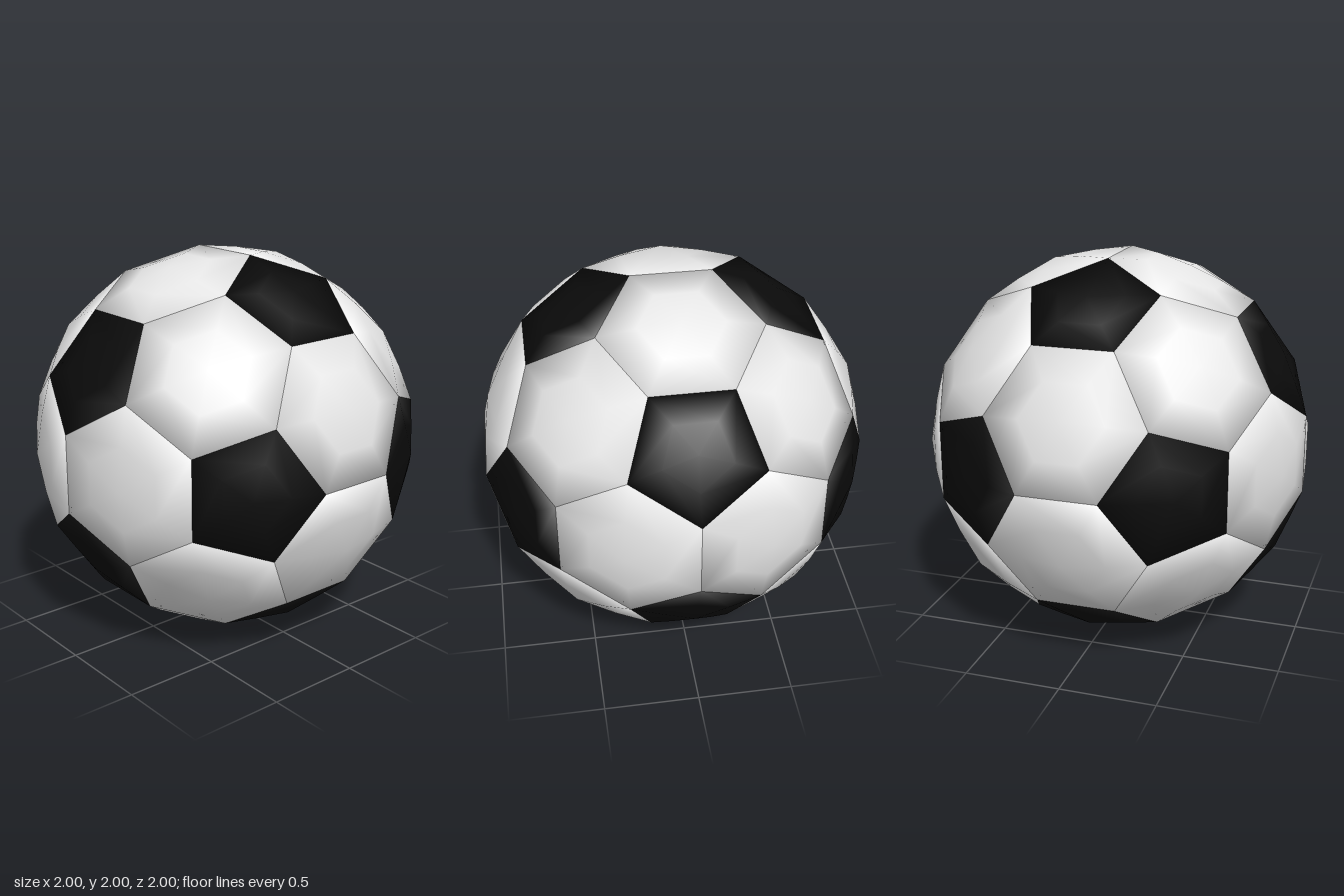
import * as THREE from 'three';

const PHI = (1 + Math.sqrt(5)) / 2;
const CROWN = 1.02;   // radius at the middle of a panel
const RING = 1.007;   // radius half way to the rim
const DEPTH = 0.84;   // inner end of the hidden seam wall, as a share of the radius

const white = new THREE.MeshStandardMaterial({ color: 0xe7e7e7 });
white.name = 'white';
const black = new THREE.MeshStandardMaterial({ color: 0x0b0b0b });
black.name = 'black';

// Puffed panel: crown, half-way ring, straight-edged rim and a wall folded into the seam
function panelGeometry(corners, dir) {
  const u = corners[0].clone().projectOnPlane(dir).normalize();
  const v = dir.clone().cross(u);
  const angle = (p) => Math.atan2(p.dot(v), p.dot(u));
  const rim = [...corners].sort((a, b) => angle(a) - angle(b));
  const n = rim.length;
  const flatCentre = dir.clone().multiplyScalar(rim[0].dot(dir));

  const points = [
    dir.clone().multiplyScalar(CROWN),
    ...rim.map((p) => p.clone().lerp(flatCentre, 0.5).setLength(RING)),
    ...rim,
    ...rim.map((p) => p.clone().multiplyScalar(DEPTH)),
  ];
  const index = [];
  for (let i = 0; i < n; i++) {
    const j = (i + 1) % n;
    index.push(0, 1 + i, 1 + j);
    for (let k = 1; k <= 1 + n; k += n) {
      index.push(k + i, k + n + i, k + n + j, k + i, k + n + j, k + j);
    }
  }
  const geometry = new THREE.BufferGeometry().setFromPoints(points);
  geometry.setIndex(index);
  geometry.computeVertexNormals(); // shared rim normals round the panel over at the seam
  return geometry;
}

export function createModel() {
  const ball = new THREE.Group();
  ball.name = 'ball';

  // Twelve icosahedron points, whose cut-off tips become the pentagons
  const tips = [];
  for (const s of [-1, 1]) {
    for (const t of [-1, 1]) {
      const a = s / PHI;
      tips.push(new THREE.Vector3(0, a, t), new THREE.Vector3(a, t, 0), new THREE.Vector3(t, 0, a));
    }
  }
  const adjacent = (a, b) => a !== b && a.distanceTo(b) < 1.3;
  const corner = (a, b) => a.clone().lerp(b, 1 / 3);

  const addPanel = (name, corners, centre, material) => {
    const mesh = new THREE.Mesh(panelGeometry(corners, centre.clone().normalize()), material);
    mesh.name = name;
    mesh.position.y = 1;
    ball.add(mesh);
  };

  // Black pentagons
  for (const a of tips) {
    const corners = tips.filter((b) => adjacent(a, b)).map((b) => corner(a, b));
    addPanel('pentagonPanel', corners, a, black);
  }

  // White hexagons, one for each trio of neighbouring tips
  for (let i = 0; i < 12; i++) {
    for (let j = i + 1; j < 12; j++) {
      for (let k = j + 1; k < 12; k++) {
        const [a, b, c] = [tips[i], tips[j], tips[k]];
        if (!adjacent(a, b) || !adjacent(b, c) || !adjacent(a, c)) continue;
        const corners = [[a, b], [b, a], [b, c], [c, b], [c, a], [a, c]].map(([p, q]) => corner(p, q));
        addPanel('hexagonPanel', corners, a.clone().add(b).add(c), white);
      }
    }
  }
  return ball;
}
